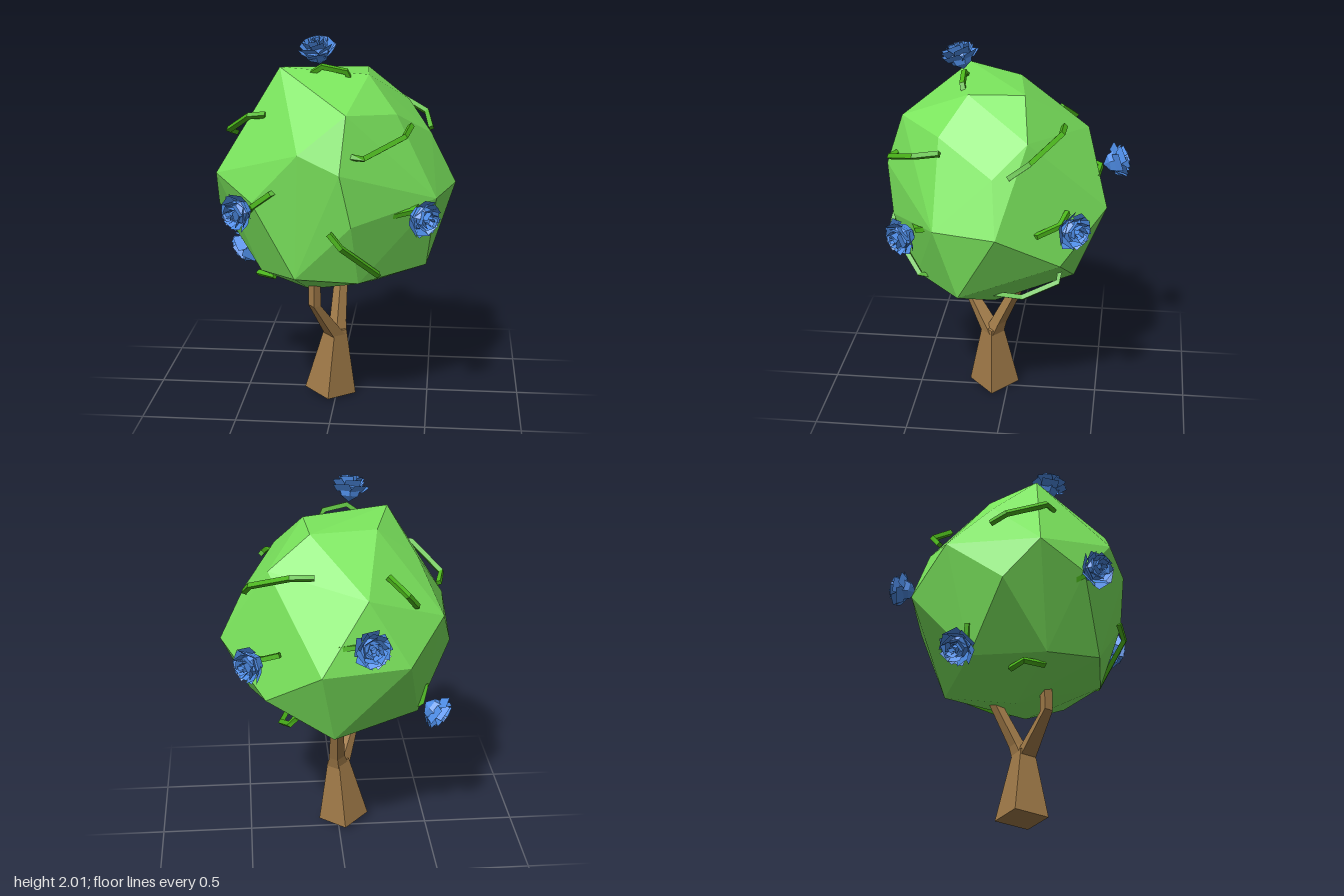
import * as THREE from 'three';
import { mergeGeometries } from 'three/addons/utils/BufferGeometryUtils.js';
import { ConvexGeometry } from 'three/addons/geometries/ConvexGeometry.js';

const vec = (x, y, z) => new THREE.Vector3(x, y, z);
const CENTER = vec(0, 1.22, 0.05);
const mat = (color, side = THREE.FrontSide) =>
  new THREE.MeshStandardMaterial({ color, flatShading: true, side });

const leafMat = mat(0x7ae45c);
const vineMat = mat(0x4bb51a);
const barkMat = mat(0xa07a48);
const petalMat = mat(0x4f8ee8, THREE.DoubleSide);

// Point around the crown axis: azimuth in degrees (0 = front, 90 = +x), height, horizontal radius
function around(azimuth, y, radius) {
  const a = THREE.MathUtils.degToRad(azimuth);
  return vec(radius * Math.sin(a), y, CENTER.z + radius * Math.cos(a));
}

// Point at a distance r from the crown centre
const onSphere = (azimuth, y, r) => around(azimuth, y, Math.sqrt(r * r - (y - CENTER.y) ** 2));

// Four-sided loft through points; frame(i) gives two axes with u x v along the path
function loft(points, radii, frame, turn = 0) {
  const pos = [];
  const idx = [];
  points.forEach((p, i) => {
    const [u, v] = frame(i);
    for (let k = 0; k < 4; k++) {
      const a = turn + (k * Math.PI) / 2;
      const c = p.clone()
        .addScaledVector(u, radii[i] * Math.cos(a))
        .addScaledVector(v, radii[i] * Math.sin(a));
      pos.push(c.x, c.y, c.z);
    }
  });
  for (let i = 0; i < points.length - 1; i++) {
    for (let k = 0; k < 4; k++) {
      const a = i * 4 + k, b = i * 4 + ((k + 1) % 4);
      idx.push(a, b, b + 4, a, b + 4, a + 4);
    }
  }
  const e = (points.length - 1) * 4;
  idx.push(0, 2, 1, 0, 3, 2, e, e + 1, e + 2, e, e + 2, e + 3);
  const g = new THREE.BufferGeometry();
  g.setAttribute('position', new THREE.Float32BufferAttribute(pos, 3));
  g.setIndex(idx);
  g.computeVertexNormals();
  return g;
}

function addMesh(parent, name, geometry, material) {
  const m = new THREE.Mesh(geometry, material);
  m.name = name;
  parent.add(m);
  return m;
}

// Trunk limb with diamond-shaped, slightly tilted cross-sections
const limb = (points, radii) => loft(points, radii, () => [vec(0, 0, 1), vec(1, -0.1, 0)]);

// Bent square vine whose flat side faces the given centre
function vine(points, center) {
  const last = points.length - 1;
  const frame = (i) => {
    const t = points[Math.min(i + 1, last)].clone().sub(points[Math.max(i - 1, 0)]).normalize();
    const n = points[i].clone().sub(center);
    n.addScaledVector(t, -n.dot(t)).normalize();
    return [n, t.clone().cross(n)];
  };
  return loft(points, points.map(() => 0.018), frame, Math.PI / 4);
}

// Flower facing +y: faceted cup and overlapping rings of flat petals
function flowerGeometry() {
  const profile = [[0, -0.075], [0.05, -0.045], [0.068, 0], [0.05, 0.025], [0, 0.02]];
  const parts = [new THREE.LatheGeometry(profile.map(([x, y]) => new THREE.Vector2(x, y)), 6)];
  // Ring radius, height and outward lean
  const rings = [[0.052, -0.02, 0.9], [0.048, 0, 0.7], [0.038, 0.01, 0.45], [0.026, 0.015, 0.25], [0.013, 0.015, 0.1]];
  rings.forEach(([r, y, lean], j) => {
    for (let k = 0; k < 5; k++) {
      const petal = new THREE.PlaneGeometry(r * 1.8, 0.05);
      petal.translate(0, 0.025, 0);
      petal.rotateZ(0.12);
      petal.rotateX(lean);
      petal.rotateY(0.15);
      petal.translate(0, y, r);
      petal.rotateY((k * Math.PI * 2) / 5 + j * 0.75);
      parts.push(petal);
    }
  });
  return mergeGeometries(parts);
}

// Faceted crown: uneven rings of corners, each with height, radius and azimuths
function crownGeometry() {
  const rings = [
    [1.84, 0.33, [-57]],
    [1.8, 0.22, [53, 135, -118]],
    [1.65, 0.5, [10]],
    [1.62, 0.42, [51, 117, -94]],
    [1.55, 0.485, [-166]],
    [1.46, 0.57, [-15]],
    [1.47, 0.5, [93]],
    [1.37, 0.59, [6, -115]],
    [1.3, 0.66, [-66]],
    [1.2, 0.635, [95]],
    [1.19, 0.6, [63, 168, -41, -146]],
    [1.09, 0.63, [-83]],
    [1.1, 0.565, [12]],
    [0.97, 0.545, [132]],
    [0.8, 0.51, [-20, 72]],
    [0.77, 0.45, [19, -109, -57]],
    [0.755, 0.42, [173]],
    [0.65, 0.2, [90]],
    [0.6, 0.15, [-79]],
  ];
  return new ConvexGeometry(rings.flatMap(([y, r, azimuths]) => azimuths.map((a) => around(a, y, r))));
}

export function createModel() {
  const tree = new THREE.Group();
  tree.name = 'floweringTree';

  // Forked trunk
  const trunk = new THREE.Group();
  trunk.name = 'trunk';
  tree.add(trunk);
  const fork = vec(-0.005, 0.34, 0.085);
  addMesh(trunk, 'trunkBase', limb([vec(-0.035, 0.014, 0.08), vec(-0.005, 0.38, 0.085)], [0.14, 0.06]), barkMat);
  addMesh(trunk, 'frontBranch',
    limb([fork, vec(-0.105, 0.56, 0.23), vec(-0.105, 0.78, 0.23)], [0.062, 0.034, 0.032]), barkMat);
  addMesh(trunk, 'backBranch',
    limb([fork, vec(0.005, 0.42, 0.05), vec(0.02, 0.8, -0.13)], [0.06, 0.045, 0.03]), barkMat);

  addMesh(tree, 'crown', crownGeometry(), leafMat);

  // Vines over the crown: distance from its centre, then azimuth and height of each bend
  const vines = [
    [0.62, [1, 1.07], [7, 1.0], [32, 0.81], [36, 0.8]],
    [0.62, [13, 1.45], [18, 1.45], [44, 1.53], [58, 1.56]],
    [0.61, [158, 1.64], [143, 1.64], [114, 1.55], [102, 1.48]],
    [0.6, [86, 0.73], [117, 0.74], [141, 0.82], [145, 0.86]],
    [0.63, [-91, 1.46], [-82, 1.49], [-58, 1.6], [-50, 1.61]],
    [0.6, [-131, 1.46], [-140, 1.54], [-144, 1.62]],
    [0.66, [-82, 0.71], [-72, 0.72], [-55, 0.73]],
  ];
  for (const [r, ...bends] of vines) {
    const points = bends.map(([a, y], i) =>
      onSphere(a, y, i === 0 || i === bends.length - 1 ? r - 0.04 : r));
    addMesh(tree, 'vine', vine(points, CENTER), vineMat);
  }

  // Flowers face away from the crown, each on an arched stem: position and stem direction
  const flower = flowerGeometry();
  const stem = vine(
    [vec(0.155, -0.215, 0), vec(0.13, -0.13, 0), vec(0.01, -0.09, 0), vec(-0.08, -0.14, 0)], vec(0, -0.7, 0));
  const flowers = [
    [vec(-0.08, 1.93, 0.26), vec(1, 0, 0)],
    [vec(-0.12, 1.36, -0.575), vec(1, -0.1, 0)],
    [vec(0.48, 1.21, -0.38), vec(0.5, -0.3, 0.6)],
    [vec(0.47, 1.13, 0.49), vec(0.6, 0.25, -0.6)],
    [vec(-0.45, 1.16, 0.57), vec(0.6, 0.5, 0.3)],
    [vec(-0.52, 0.78, -0.13), vec(0.6, -0.7, 0)],
  ];
  for (const [position, along] of flowers) {
    const out = position.clone().sub(CENTER).normalize();
    const side = along.addScaledVector(out, -along.dot(out)).normalize();
    const group = new THREE.Group();
    group.name = 'flowerOnStem';
    group.position.copy(position);
    group.quaternion.setFromRotationMatrix(
      new THREE.Matrix4().makeBasis(side, out, side.clone().cross(out)));
    addMesh(group, 'flower', flower, petalMat);
    addMesh(group, 'stem', stem, vineMat);
    tree.add(group);
  }
  return tree;
}
